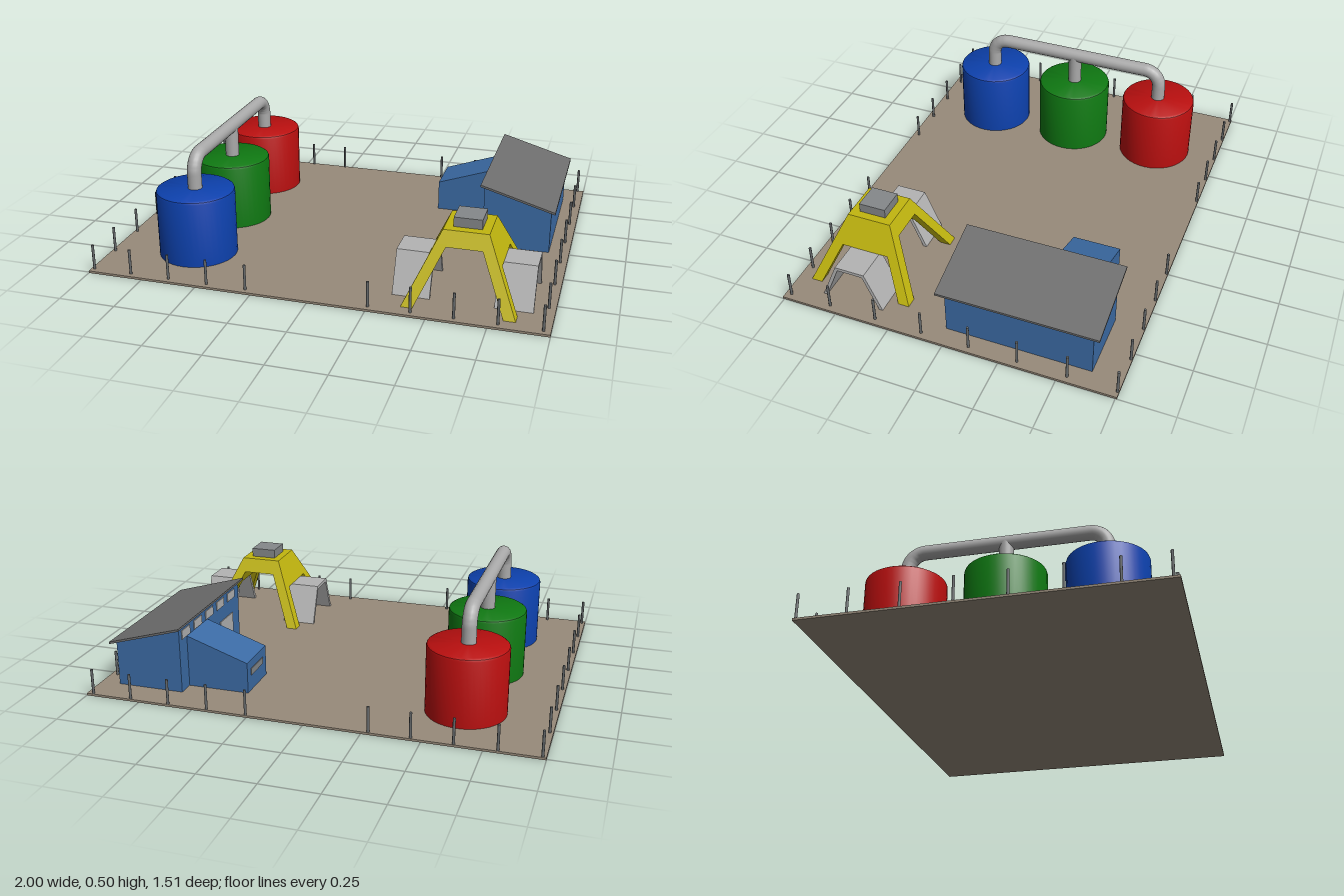
import * as THREE from 'three';
import { toCreasedNormals } from 'three/addons/utils/BufferGeometryUtils.js';

export function createModel() {
  const model = new THREE.Group();
  const mat = (color) => new THREE.MeshStandardMaterial({ color });
  const earth = mat(0x978a7a), wallBlue = mat(0x3c6ca6), roofGrey = mat(0x6e6e6e), pale = mat(0xb4b4b4);
  const yellow = mat(0xc2b60f), steel = mat(0xaaaaaa), postGrey = mat(0x666a6c), capGrey = mat(0x85888a);

  const add = (parent, name, geometry, material) => {
    const mesh = new THREE.Mesh(geometry, material);
    mesh.name = name;
    parent.add(mesh);
    return mesh;
  };
  const group = (name) => {
    const g = new THREE.Group();
    g.name = name;
    model.add(g);
    return g;
  };
  // Box given by its limits
  const block = (x0, x1, y0, y1, z0, z1) =>
    new THREE.BoxGeometry(x1 - x0, y1 - y0, z1 - z0).translate((x0 + x1) / 2, (y0 + y1) / 2, (z0 + z1) / 2);
  // Tapered block between two rectangles [xa, xb, za, zb]
  const taper = (low, y0, high, y1) => {
    const g = new THREE.BoxGeometry(1, 1, 1).toNonIndexed();
    const p = g.attributes.position;
    for (let i = 0; i < p.count; i++) {
      const up = p.getY(i) > 0, r = up ? high : low;
      const [xa, xb] = [r[0], r[1]].sort((a, b) => a - b);
      const [za, zb] = [r[2], r[3]].sort((a, b) => a - b);
      p.setXYZ(i, p.getX(i) > 0 ? xb : xa, up ? y1 : y0, p.getZ(i) > 0 ? zb : za);
    }
    g.computeVertexNormals();
    return g;
  };
  // Profile in the x-y plane pushed from z0 to z1
  const prism = (points, z0, z1) => {
    const shape = new THREE.Shape(points.map(([x, y]) => new THREE.Vector2(x, y)));
    return new THREE.ExtrudeGeometry(shape, { depth: z1 - z0, bevelEnabled: false }).translate(0, 0, z0);
  };

  // Ground slab
  add(model, 'ground', block(-1, 1, 0, 0.01, -0.757, 0.757), earth);

  // Storage tanks
  const tanks = group('tanks');
  const tankProfile = [[0, 0.01], [0.175, 0.01], [0.175, 0.306], [0.172, 0.314], [0.163, 0.32], [0, 0.32]]
    .map(([r, y]) => new THREE.Vector2(r, y));
  [['redTank', -0.44, 0xb90f0f], ['greenTank', 0, 0x0f7812], ['blueTank', 0.433, 0x0d41ad]].forEach(([name, z, color]) => {
    const g = toCreasedNormals(new THREE.LatheGeometry(tankProfile, 40), 0.6);
    add(tanks, name, g, mat(color)).position.set(-0.62, 0, z);
  });

  // Pipe linking the tanks
  const pipes = group('pipework');
  const x = -0.62, top = 0.464, end = 0.436, bend = 0.075;
  const v = (y, z) => new THREE.Vector3(x, y, z);
  const path = new THREE.CurvePath();
  const corner = (s) => {
    const pts = [];
    for (let i = 0; i <= 8; i++) {
      const a = (i / 8) * Math.PI / 2;
      pts.push(v(top - bend + bend * Math.sin(a), s * (end - bend + bend * Math.cos(a))));
    }
    return pts;
  };
  const route = [v(0.3, end), ...corner(1), ...corner(-1).reverse(), v(0.3, -end)];
  for (let i = 1; i < route.length; i++) path.add(new THREE.LineCurve3(route[i - 1], route[i]));
  add(pipes, 'mainPipe', new THREE.TubeGeometry(path, 120, 0.032, 20), steel);
  add(pipes, 'middlePipe', new THREE.CylinderGeometry(0.032, 0.032, top - 0.3, 20).translate(x, (top + 0.3) / 2, 0), steel);

  // Fence posts, with a gateway gap at front and back
  const fence = group('fencePosts');
  const postGeometry = new THREE.CylinderGeometry(0.006, 0.006, 0.115, 8);
  const post = (px, pz) => add(fence, 'post', postGeometry, postGrey).position.set(px, 0.0665, pz);
  for (const z of [-0.75, 0.73])
    for (const px of [-0.985, -0.81, -0.633, -0.457, -0.28, 0.255, 0.433, 0.612, 0.79, 0.97]) post(px, z);
  for (const px of [-0.985, 0.97])
    for (let i = 0; i < 6; i++) post(px, -0.538 + i * 0.2155);

  // Building with a single-pitch roof
  const building = group('building');
  const pitch = (px) => 0.318 - (px - 0.592) * 0.29;
  add(building, 'walls', prism([[0.605, 0.01], [0.91, 0.01], [0.91, pitch(0.91) - 0.006], [0.605, pitch(0.605) - 0.006]], -0.625, 0.02), wallBlue);
  add(building, 'roof', prism([[0.592, pitch(0.592) - 0.01], [0.93, pitch(0.93) - 0.01], [0.93, pitch(0.93)], [0.592, pitch(0.592)]], -0.655, 0.055), roofGrey);
  for (let i = 0; i < 5; i++) {
    const z = -0.56 + i * 0.122;
    add(building, 'window', block(0.601, 0.606, 0.25, 0.29, z - 0.04, z + 0.04), pale);
  }
  add(building, 'door', block(0.601, 0.606, 0.01, 0.18, -0.2, -0.06), pale);

  // Lean-to annex with an end window
  add(building, 'annex', prism([[0.325, 0.01], [0.606, 0.01], [0.606, 0.247], [0.325, 0.15]], -0.55, -0.335), wallBlue);
  add(building, 'annexWindow', block(0.322, 0.326, 0.08, 0.11, -0.51, -0.375), capGrey);

  // Splayed tower, built around its own centre
  const tower = group('tower');
  tower.position.set(0.62, 0, 0.459);
  const y0 = 0.01, y1 = 0.315, thick = 0.05;
  const mix = (a, b, y) => a + (b - a) * (y - y0) / (y1 - y0);
  const hx = (y) => mix(0.236, 0.096, y), hz = (y) => mix(0.237, 0.1, y);
  const leg = (sx, sz, y) => [sx * hx(y), sx * (hx(y) - thick), sz * hz(y), sz * (hz(y) - thick)];
  for (const sx of [-1, 1]) {
    for (const sz of [-1, 1]) add(tower, 'leg', taper(leg(sx, sz, y0), y0, leg(sx, sz, 0.26), 0.26), yellow);
    const side = (y) => [sx * hx(y), sx * (hx(y) - thick), -hz(y) + 0.01, hz(y) - 0.01];
    add(tower, 'sidePanel', taper(side(0.187), 0.187, side(0.26), 0.26), yellow);
  }
  const full = (y) => [-hx(y), hx(y), -hz(y), hz(y)];
  add(tower, 'crown', taper(full(0.25), 0.25, full(y1), y1), yellow);
  add(tower, 'cap', block(-0.06, 0.06, y1, 0.357, -0.061, 0.061), capGrey);

  // Open tunnels through the two sides of the tower
  const tunnel = prism([[-0.143, 0.01], [-0.068, 0.187], [0.068, 0.187], [0.143, 0.01],
    [0.126, 0.01], [0.058, 0.172], [-0.058, 0.172], [-0.126, 0.01]], -0.08, 0.08).rotateY(Math.PI / 2);
  for (const s of [-1, 1]) add(tower, 'tunnel', tunnel, pale).position.x = s * 0.215;

  return model;
}
